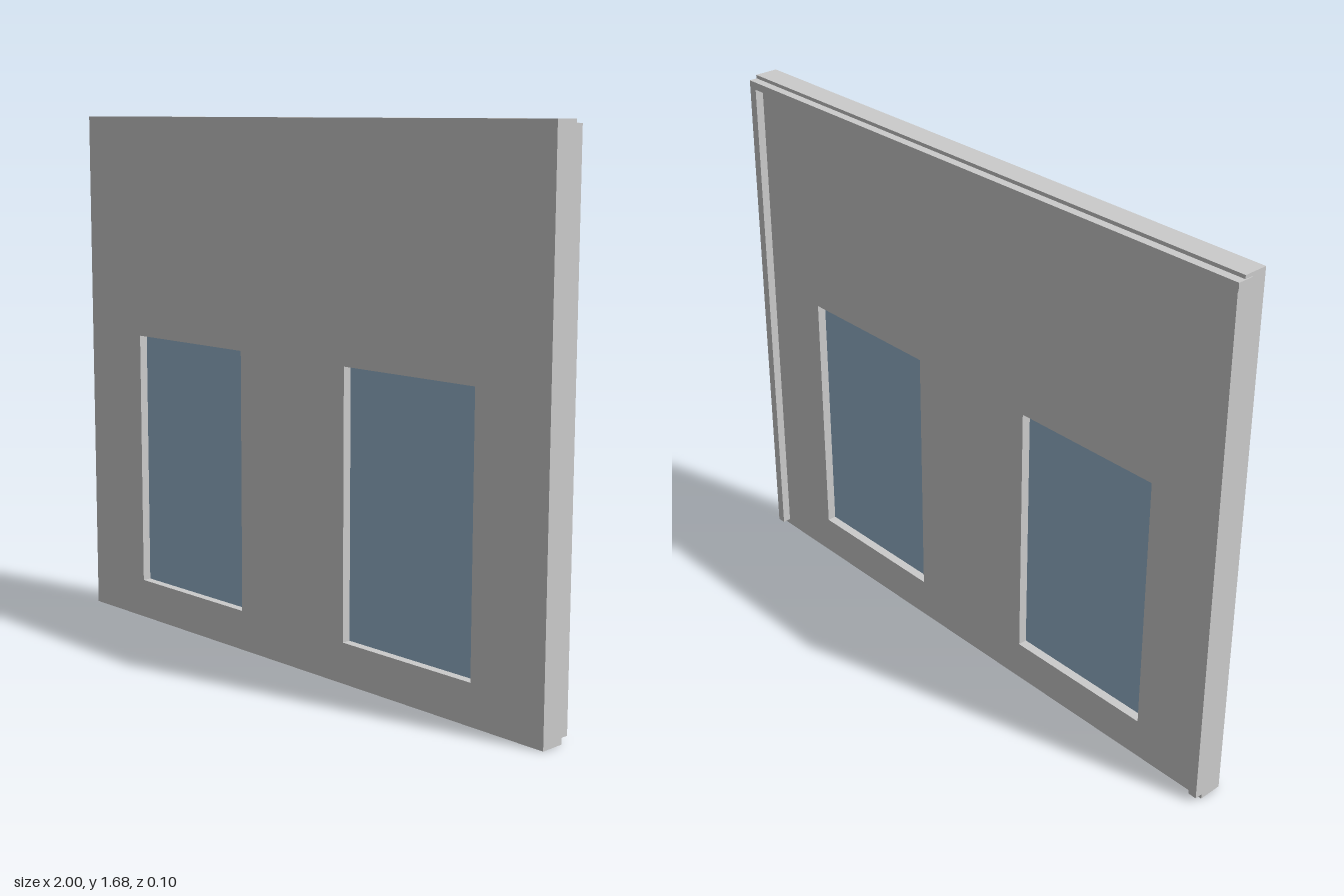
import * as THREE from 'three';

const FRONT = 0.052, SEAM = -0.025, BACK = -0.052;
const HEIGHT = 1.68;
const WINDOW = { inner: 0.229, outer: 0.737, bottom: 0.128, top: 0.963 };

export function createModel() {
  const group = new THREE.Group();
  const grey = new THREE.MeshStandardMaterial({ color: 0xcccccc });
  const blue = new THREE.MeshStandardMaterial({ color: 0x97b6ce });

  const add = (name, geometry, material) => {
    const mesh = new THREE.Mesh(geometry, material);
    mesh.name = name;
    group.add(mesh);
    return mesh;
  };

  // Box given by its lower and upper limits on each axis
  const box = (name, [x0, x1], [y0, y1], [z0, z1], material = grey) =>
    add(name, new THREE.BoxGeometry(x1 - x0, y1 - y0, z1 - z0), material)
      .position.set((x0 + x1) / 2, (y0 + y1) / 2, (z0 + z1) / 2);

  const rectangle = (path, x0, x1, y0, y1) =>
    path.moveTo(x0, y0).lineTo(x1, y0).lineTo(x1, y1).lineTo(x0, y1).closePath();

  // Wall slab with two window openings
  const outline = rectangle(new THREE.Shape(), -0.997, 1, 0, HEIGHT);
  const { inner, outer, bottom, top } = WINDOW;
  for (const side of [-1, 1]) {
    const x = [side * inner, side * outer].sort((a, b) => a - b);
    outline.holes.push(rectangle(new THREE.Path(), x[0], x[1], bottom, top));

    // Glass set midway in the opening
    box(side > 0 ? 'leftGlass' : 'rightGlass', x, [bottom, top], [0.004, 0.024], blue);

    // Vertical batten along the back edge
    const edge = [side * 0.97, side * 0.998].sort((a, b) => a - b);
    box(side > 0 ? 'leftBatten' : 'rightBatten', edge, [0.018, 1.645], [BACK, SEAM]);
  }
  const wall = new THREE.ExtrudeGeometry(outline, { depth: FRONT - SEAM, bevelEnabled: false });
  add('wall', wall, grey).position.z = SEAM;

  // Horizontal batten under the top edge, let into the slab
  box('topBatten', [-1, 0.998], [1.645, 1.669], [BACK, 0]);

  return group;
}
